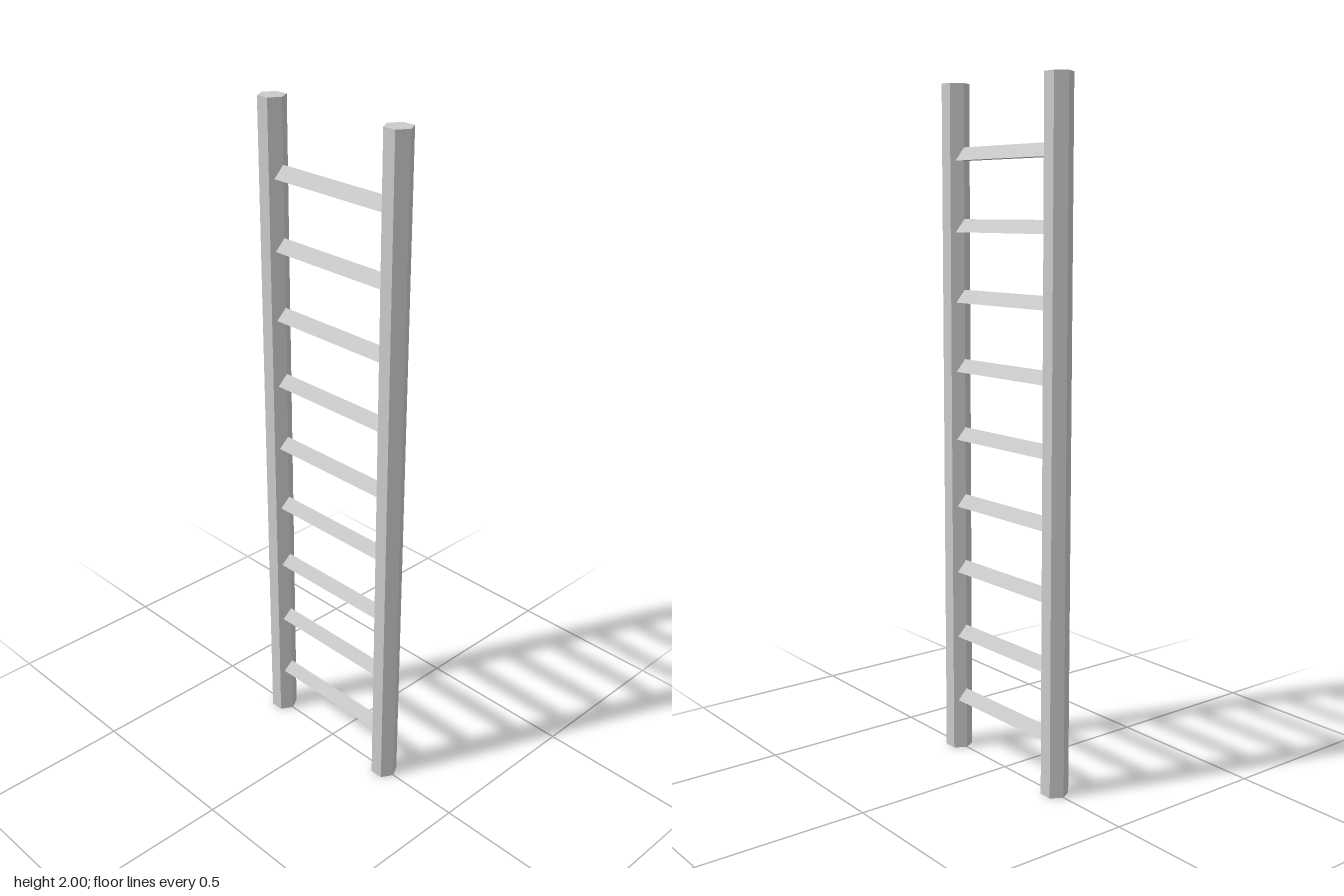
import * as THREE from 'three';

const RAIL_Z = 0.23;
const RUNGS = 9;

export function createModel() {
  const model = new THREE.Group();
  model.name = 'ladder';
  const material = new THREE.MeshStandardMaterial({ color: 0xcccccc, flatShading: true });

  // Hexagonal upright rails
  const railGeometry = new THREE.CylinderGeometry(0.04, 0.04, 2, 6);
  for (const side of [1, -1]) {
    const rail = new THREE.Mesh(railGeometry, material);
    rail.name = side > 0 ? 'frontRail' : 'backRail';
    rail.position.set(0, 1, side * RAIL_Z);
    model.add(rail);
  }

  // Triangular rungs, ridge upwards, reaching the rail centres
  const rungGeometry = new THREE.CylinderGeometry(0.025, 0.025, RAIL_Z * 2, 3);
  rungGeometry.rotateX(-Math.PI / 2);
  for (let i = 0; i < RUNGS; i++) {
    const rung = new THREE.Mesh(rungGeometry, material);
    rung.name = `rung${i + 1}`;
    rung.position.y = 0.166 + i * 0.2037;
    model.add(rung);
  }

  return model;
}
